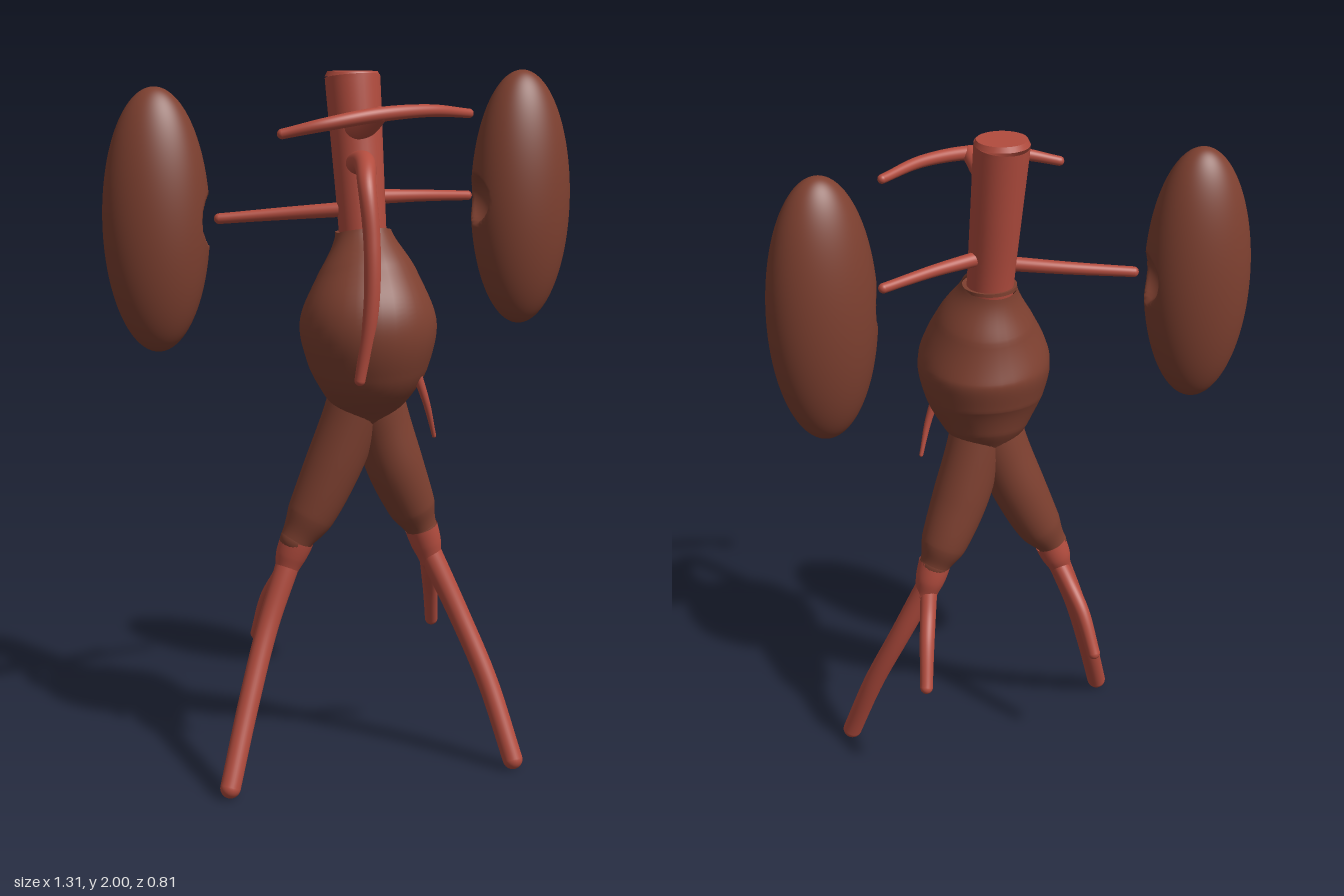
import * as THREE from 'three';
import { mergeVertices } from 'three/addons/utils/BufferGeometryUtils.js';

const artery = new THREE.MeshStandardMaterial({ color: 0xb24c3e });
artery.name = 'artery red';
const tissue = new THREE.MeshStandardMaterial({ color: 0x7e4030 });
tissue.name = 'tissue brown';
tissue.side = artery.side = THREE.DoubleSide;

// Smooth vessel: rows of [x, y, z, radius]; the radius varies along the path.
function vessel(name, material, rows, roundStart = false, roundEnd = true) {
  const group = new THREE.Group();
  group.name = name;
  const curve = new THREE.CatmullRomCurve3(rows.map(([x, y, z]) => new THREE.Vector3(x, y, z)));
  curve.getPointAt = curve.getPoint;
  curve.getTangentAt = curve.getTangent;
  const radius = new THREE.SplineCurve(rows.map((r, i) => new THREE.Vector2(i, r[3])));
  const steps = (rows.length - 1) * 12, sides = 32;
  let geo = new THREE.TubeGeometry(curve, steps, 1, sides);
  const pos = geo.attributes.position, v = new THREE.Vector3();
  for (let i = 0; i <= steps; i++) {
    const c = curve.getPoint(i / steps), r = radius.getPoint(i / steps).y;
    for (let j = 0; j <= sides; j++) {
      const k = i * (sides + 1) + j;
      v.fromBufferAttribute(pos, k).sub(c).multiplyScalar(r).add(c);
      pos.setXYZ(k, v.x, v.y, v.z);
    }
  }
  geo.deleteAttribute('uv');
  geo.deleteAttribute('normal');
  geo = mergeVertices(geo, 1e-5);
  geo.computeVertexNormals();
  const wall = new THREE.Mesh(geo, material);
  wall.name = name + 'Wall';
  group.add(wall);
  const ends = [];
  if (roundStart) ends.push(rows[0]);
  if (roundEnd) ends.push(rows[rows.length - 1]);
  for (const [x, y, z, r] of ends) {
    const tip = new THREE.Mesh(new THREE.SphereGeometry(r, 24, 16), material);
    tip.name = name + 'Tip';
    tip.position.set(x, y, z);
    group.add(tip);
  }
  return group;
}

// Long ellipsoid with a round hollow on its local +x side.
function kidney(name, x, y, z, turn) {
  const a = 0.15, geo = new THREE.SphereGeometry(1, 128, 128);
  geo.rotateY(Math.PI / 2);
  geo.scale(a, 0.37, 0.119);
  const pos = geo.attributes.position, ballX = a + 0.02, ballR = 0.075;
  for (let i = 0; i < pos.count; i++) {
    const d2 = pos.getY(i) ** 2 + pos.getZ(i) ** 2;
    if (pos.getX(i) > 0 && d2 < ballR ** 2) {
      pos.setX(i, Math.min(pos.getX(i), ballX - Math.sqrt(ballR ** 2 - d2)));
    }
  }
  geo.deleteAttribute('uv');
  geo.deleteAttribute('normal');
  const smooth = mergeVertices(geo, 1e-5);
  smooth.computeVertexNormals();
  const mesh = new THREE.Mesh(smooth, tissue);
  mesh.name = name;
  mesh.position.set(x, y, z);
  mesh.rotation.y = turn;
  return mesh;
}

export function createModel() {
  const model = new THREE.Group();
  model.name = 'arteryModel';

  // Main trunk with a flat, slightly bevelled top
  model.add(vessel('aorta', artery, [
    [-0.055, 1.48, 0.09, 0.066], [-0.053, 1.6, 0.075, 0.067], [-0.048, 1.8, 0.045, 0.072], [-0.046, 1.985, 0.02, 0.077],
  ], false, false));
  const lid = new THREE.Mesh(new THREE.CylinderGeometry(0.07, 0.077, 0.015, 32), artery);
  lid.name = 'aortaTop';
  lid.position.set(-0.046, 1.992, 0.02);
  model.add(lid);

  // Bulging sac
  model.add(vessel('sac', tissue, [
    [-0.055, 1.55, 0.085, 0.06], [-0.055, 1.56, 0.085, 0.078], [-0.06, 1.45, 0.11, 0.138], [-0.07, 1.32, 0.13, 0.19],
    [-0.067, 1.2, 0.125, 0.17], [-0.06, 1.11, 0.11, 0.122], [-0.055, 1.04, 0.1, 0.07],
  ].slice(1), false, false));
  const rim = new THREE.Mesh(new THREE.CylinderGeometry(0.078, 0.078, 0.01, 32), tissue);
  rim.name = 'sacNeck';
  rim.position.set(-0.055, 1.556, 0.085);
  model.add(rim);

  // Swollen legs below the sac
  model.add(vessel('rightLeg', tissue, [
    [-0.065, 1.14, 0.1, 0.085], [-0.1, 1.02, 0.08, 0.083], [-0.145, 0.89, 0.055, 0.08],
    [-0.2, 0.76, 0.03, 0.068], [-0.24, 0.69, 0.015, 0.046],
  ]));
  model.add(vessel('leftLeg', tissue, [
    [-0.05, 1.14, 0.11, 0.085], [-0.01, 1.02, 0.11, 0.083], [0.035, 0.89, 0.115, 0.082],
    [0.095, 0.76, 0.118, 0.068], [0.122, 0.7, 0.125, 0.046],
  ]));

  // Collars, then an outer and an inner branch on each leg
  model.add(vessel('rightCollar', artery, [
    [-0.235, 0.69, 0.015, 0.048], [-0.25, 0.645, 0.005, 0.044], [-0.265, 0.6, 0, 0.033],
  ]));
  model.add(vessel('leftCollar', artery, [
    [0.12, 0.7, 0.128, 0.048], [0.137, 0.65, 0.13, 0.044], [0.15, 0.6, 0.135, 0.033],
  ]));
  model.add(vessel('rightOuterBranch', artery, [
    [-0.255, 0.63, 0.003, 0.034], [-0.33, 0.45, 0.005, 0.031], [-0.42, 0.24, 0.04, 0.03], [-0.512, 0.03, 0.09, 0.029],
  ]));
  model.add(vessel('leftOuterBranch', artery, [
    [0.143, 0.63, 0.133, 0.034], [0.205, 0.44, 0.2, 0.031], [0.25, 0.25, 0.28, 0.03], [0.275, 0.03, 0.372, 0.029],
  ]));
  model.add(vessel('rightInnerBranch', artery, [
    [-0.25, 0.63, 0, 0.026], [-0.257, 0.57, -0.045, 0.024], [-0.26, 0.49, -0.11, 0.022], [-0.26, 0.37, -0.168, 0.019],
  ]));
  model.add(vessel('leftInnerBranch', artery, [
    [0.143, 0.63, 0.13, 0.026], [0.17, 0.56, 0.1, 0.024], [0.21, 0.48, 0.055, 0.022], [0.25, 0.37, 0.008, 0.019],
  ]));

  // Upper front stem with its crossbar
  model.add(vessel('frontStem', artery, [
    [-0.075, 1.845, 0.06, 0.033], [-0.09, 1.855, 0.15, 0.03], [-0.11, 1.888, 0.24, 0.023],
  ]));
  model.add(vessel('crossbar', artery, [
    [-0.355, 1.84, 0.14, 0.014], [-0.26, 1.865, 0.205, 0.018], [-0.12, 1.888, 0.243, 0.02],
    [0.05, 1.896, 0.252, 0.017], [0.2, 1.885, 0.23, 0.013],
  ], true));

  // Hanging front branch and the thin lower branch
  model.add(vessel('hangingBranch', artery, [
    [-0.075, 1.75, 0.08, 0.034], [-0.11, 1.755, 0.17, 0.03], [-0.155, 1.7, 0.245, 0.025], [-0.163, 1.55, 0.28, 0.023],
    [-0.17, 1.37, 0.285, 0.021], [-0.19, 1.18, 0.262, 0.015],
  ]));
  model.add(vessel('thinBranch', artery, [
    [0.012, 1.175, 0.25, 0.013], [0.04, 1.09, 0.257, 0.01], [0.072, 0.995, 0.25, 0.006],
  ], true));

  // Side branches to the kidneys
  model.add(vessel('leftSideBranch', artery, [
    [-0.02, 1.655, 0.068, 0.021], [0.14, 1.652, 0.08, 0.017], [0.312, 1.645, 0.082, 0.014],
  ]));
  model.add(vessel('rightSideBranch', artery, [
    [-0.07, 1.625, 0.07, 0.021], [-0.22, 1.61, -0.055, 0.018], [-0.37, 1.595, -0.165, 0.015],
  ]));
  model.add(kidney('leftKidney', 0.507, 1.63, 0.087, Math.PI - 0.26));
  model.add(kidney('rightKidney', -0.507, 1.588, -0.278, -0.5));

  return model;
}
